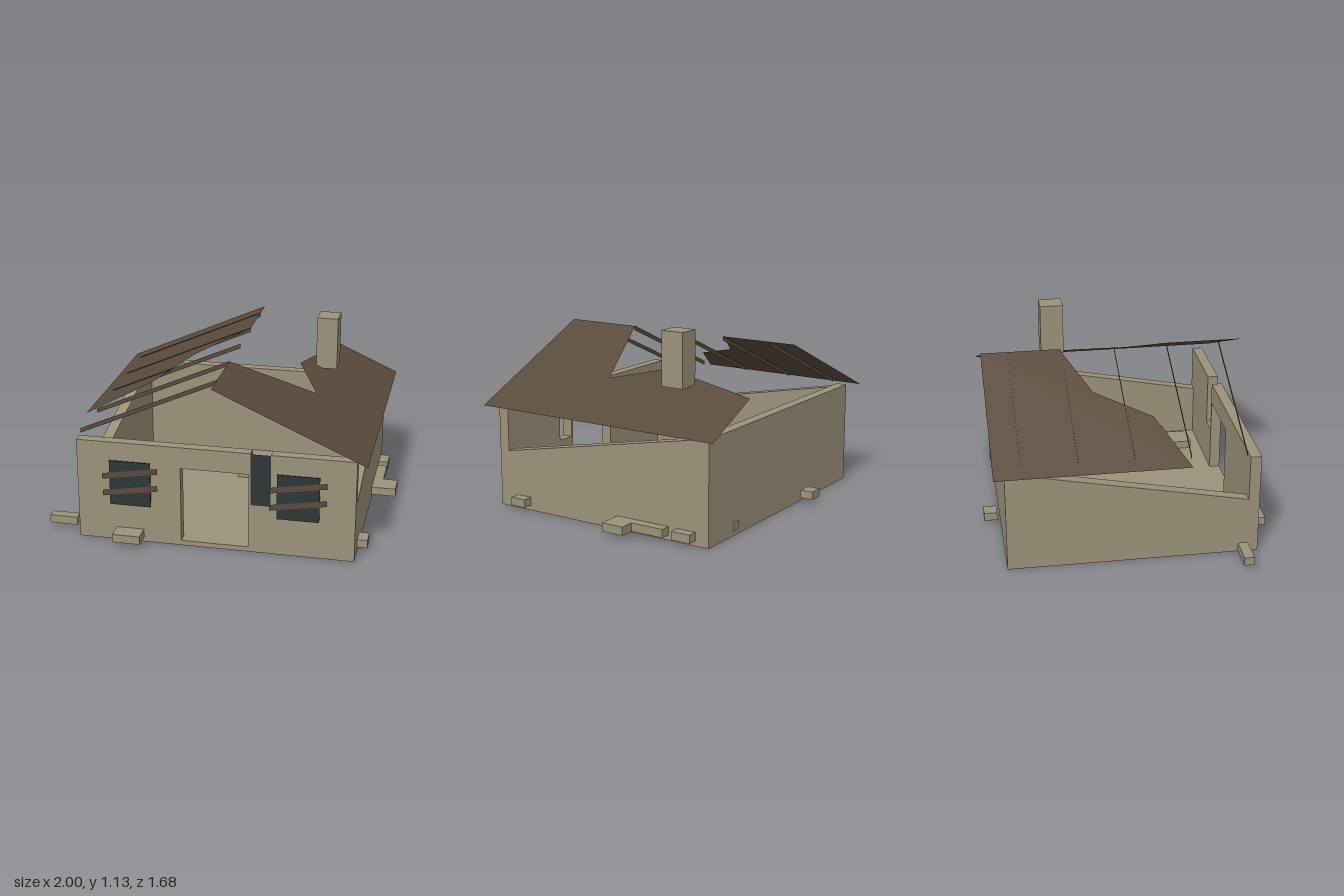
import * as THREE from 'three';

const mat = (name, color, side = THREE.FrontSide) => {
  const m = new THREE.MeshStandardMaterial({ color, side });
  m.name = name;
  return m;
};

export function createModel() {
  const house = new THREE.Group();
  house.name = 'ruinedHouse';
  const stone = mat('stone', 0x9c9279);
  const wood = mat('wood', 0x5a4a3b, THREE.DoubleSide);
  const glass = mat('darkGlass', 0x2c3636);

  const add = (name, geometry, material, x = 0, y = 0, z = 0) => {
    const mesh = new THREE.Mesh(geometry, material);
    mesh.name = name;
    mesh.position.set(x, y, z);
    house.add(mesh);
    return mesh;
  };
  // Box given by its lower and upper limits
  const box = (name, material, x0, x1, y0, y1, z0, z1) =>
    add(name, new THREE.BoxGeometry(x1 - x0, y1 - y0, z1 - z0), material,
      (x0 + x1) / 2, (y0 + y1) / 2, (z0 + z1) / 2);
  const shape = (pts) => new THREE.Shape(pts.map(([x, y]) => new THREE.Vector2(x, y)));
  const extrude = (s, depth) => new THREE.ExtrudeGeometry(s, { depth, bevelEnabled: false });

  // Floor and back wall
  box('floor', stone, -0.79, 0.85, 0, 0.03, -0.745, 0.735);
  box('backWall', stone, -0.79, 0.85, 0.03, 0.62, -0.745, -0.68);

  // Front wall with doorway and a broken notch from the top
  const front = shape([[-0.79, 0.03], [-0.17, 0.03], [-0.17, 0.49], [0.23, 0.49], [0.23, 0.03],
    [0.85, 0.03], [0.85, 0.62], [0.36, 0.62], [0.36, 0.3], [0.243, 0.3], [0.243, 0.62], [-0.79, 0.62]]);
  add('frontWall', extrude(front, 0.065), stone, 0, 0, 0.67);
  add('crack', new THREE.PlaneGeometry(0.117, 0.317), glass, 0.302, 0.459, 0.736);

  // Side walls, crumbled down towards the front
  const side = shape([[-0.67, 0.03], [0.68, 0.03], [0.68, 0.61], [-0.67, 0.345]]);
  for (const [name, x] of [['rightWall', -0.79], ['leftWall', 0.785]]) {
    add(name, extrude(side, 0.065), stone, x).rotation.y = Math.PI / 2;
  }

  // Boarded windows
  const board = shape([[-0.165, -0.045], [0.165, 0.01], [0.165, 0.045], [-0.165, -0.01]]);
  for (const x of [-0.467, 0.522]) {
    box('windowFrame', wood, x - 0.095, x + 0.095, 0.25, 0.5, 0.735, 0.75);
    box('windowPane', glass, x - 0.123, x + 0.123, 0.236, 0.513, 0.751, 0.756);
    for (const y of [0.333, 0.44]) add('windowBoard', new THREE.ShapeGeometry(board), wood, x, y, 0.759);
  }

  // Broken roof sheets: plan outlines (x, z) lifted onto each slope
  const roofY = (x) => 1.015 - 0.446 * Math.abs(x - 0.03);
  const roof = (name, outline) => {
    const g = new THREE.ShapeGeometry(shape(outline.map(([x, z]) => [x, -z])));
    const p = g.attributes.position;
    for (let i = 0; i < p.count; i++) p.setXYZ(i, p.getX(i), roofY(p.getX(i)), -p.getY(i));
    g.computeVertexNormals();
    add(name, g, wood);
  };
  roof('rightRoof', [[-0.86, -0.81], [0.03, -0.81], [0.03, -0.335], [-0.3, -0.175], [-0.5, 0.155], [-0.86, 0.32]]);
  roof('leftRoof', [[0.03, 0.32], [0.525, 0.155], [0.375, -0.17], [0.53, -0.81],
    [0.915, -0.81], [0.915, 0.8], [0.03, 0.8]]);

  // Flat rafters under the right roof slope
  const rafter = shape([[-0.79, 0.627], [0.03, 0.99], [0.03, 1.018], [-0.79, 0.655]]);
  for (let i = 0; i < 5; i++) add('rafter', new THREE.ShapeGeometry(rafter), wood, 0, 0, 0.65 - i * 0.325);

  // Chimney and table top
  box('chimney', stone, 0.46, 0.59, 0.805, 1.13, -0.405, -0.26);
  box('tableTop', wood, -0.45, -0.14, 0.145, 0.175, -0.25, -0.09);

  // Scattered rubble: x range, z range
  const rubble = [
    [-1, -0.83, 0.605, 0.665], [-0.56, -0.395, 0.735, 0.84],
    [0.82, 0.91, 0.51, 0.61], [0.83, 1, -0.27, -0.13], [0.8, 0.91, -0.48, -0.27], [0.82, 0.91, -0.66, -0.54],
    [-0.26, -0.17, -0.845, -0.765], [0.54, 0.59, -0.755, -0.67],
    [-0.03, 0.07, -0.305, -0.22], [-0.51, -0.46, 0.15, 0.27], [-0.53, -0.43, -0.03, 0.08],
    [0.52, 0.68, 0.46, 0.6], [0.72, 0.78, 0.27, 0.45],
  ];
  for (const [x0, x1, z0, z1] of rubble) box('rubble', stone, x0, x1, 0.03, 0.08, z0, z1);

  return house;
}
